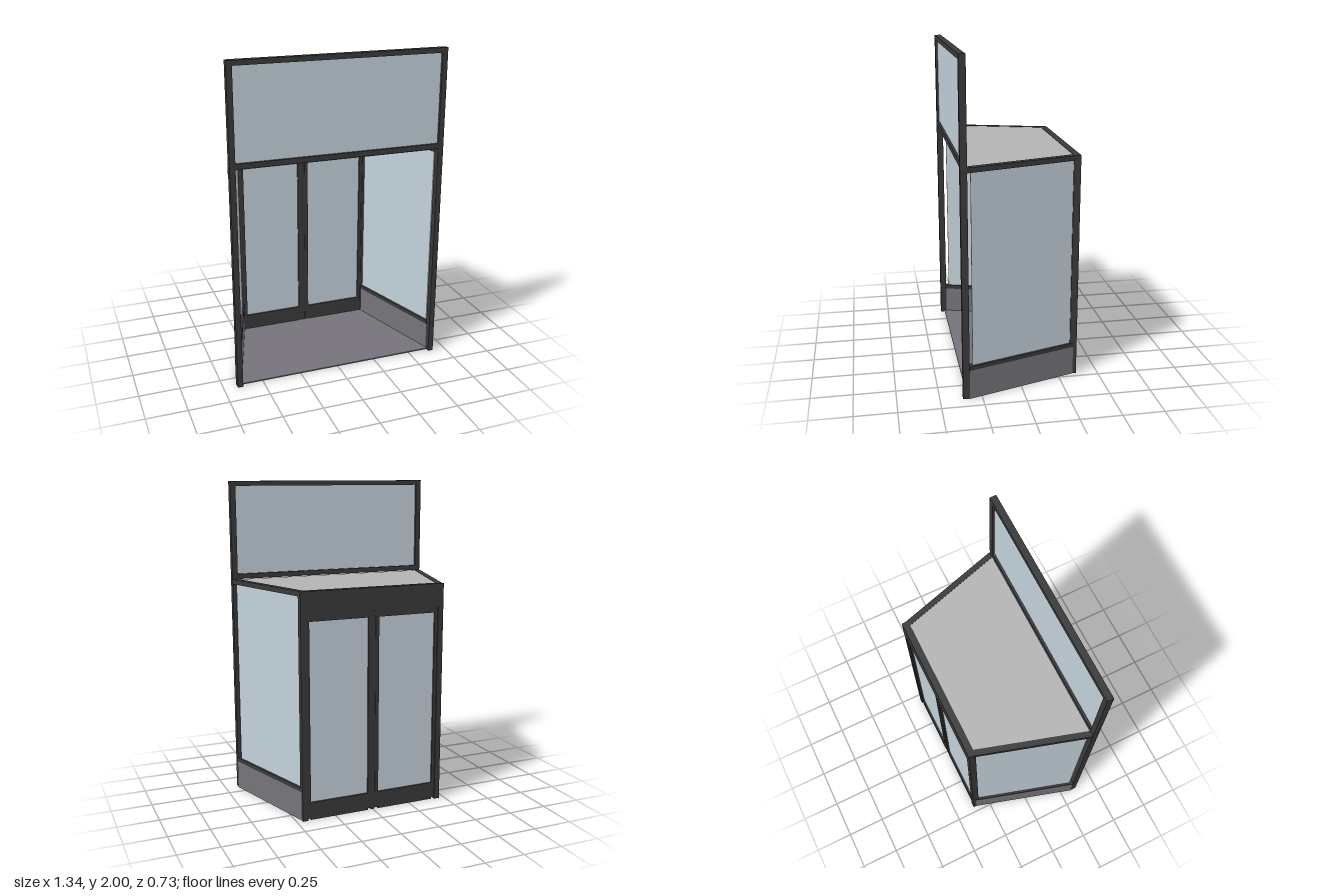
import * as THREE from 'three';

const mat = (color) => new THREE.MeshStandardMaterial({ color });

export function createModel() {
  const model = new THREE.Group();
  model.name = 'shopEntrance';
  const frame = mat(0x3a3a3a), glass = mat(0xc3d2da), panel = mat(0x76747a), roofGrey = mat(0xb4b4b4);

  const add = (name, geometry, material) => {
    const mesh = new THREE.Mesh(geometry, material);
    mesh.name = name;
    model.add(mesh);
  };
  // Box given by its lower and upper limits
  const box = (name, material, x0, x1, y0, y1, z0, z1) => {
    const g = new THREE.BoxGeometry(x1 - x0, y1 - y0, z1 - z0);
    g.translate((x0 + x1) / 2, (y0 + y1) / 2, (z0 + z1) / 2);
    add(name, g, material);
  };
  // Upright prism over a plan outline of [x, z] corners
  const prism = (name, material, plan, y0, y1) => {
    const shape = new THREE.Shape(plan.map(([x, z]) => new THREE.Vector2(x, -z)));
    const g = new THREE.ExtrudeGeometry(shape, { depth: y1 - y0, bevelEnabled: false });
    g.rotateX(-Math.PI / 2);
    g.translate(0, y0, 0);
    add(name, g, material);
  };
  // Outer line of the splayed side walls
  const edge = (z) => 0.465 + (z + 0.345) * 0.303;
  const strip = (s, inner, outer, z0, z1) => [
    [s * (edge(z0) - outer), z0], [s * (edge(z1) - outer), z1],
    [s * (edge(z1) - inner), z1], [s * (edge(z0) - inner), z0],
  ];
  const floorPlan = (inset, z0, z1) => [
    [-(edge(z0) - inset), z0], [edge(z0) - inset, z0],
    [edge(z1) - inset, z1], [-(edge(z1) - inset), z1],
  ];

  // Front frame with the large upper window
  const F0 = 0.325, F1 = 0.365;
  box('frontTopRail', frame, -0.632, 0.632, 1.97, 2, F0, F1);
  box('frontTransomBar', frame, -0.632, 0.632, 1.39, 1.422, F0, F1);
  box('upperWindow', glass, -0.632, 0.632, 1.422, 1.97, 0.34, 0.35);

  // Rear frame and doors
  const B0 = -0.367, B1 = -0.325;
  box('doorHeader', frame, -0.465, 0.465, 1.25, 1.39, B0, B1);
  box('doorMullion', frame, -0.012, 0.012, 0, 1.25, -0.358, -0.332);

  for (const s of [-1, 1]) {
    const side = s > 0 ? 'left' : 'right';
    const mirrored = (name, material, a, b, ...rest) =>
      box(side + name, material, Math.min(s * a, s * b), Math.max(s * a, s * b), ...rest);

    mirrored('FrontPost', frame, 0.632, 0.666, 0, 2, F0, F1);
    mirrored('RearPost', frame, 0.43, 0.465, 0, 1.25, B0, B1);

    // Door leaf
    mirrored('DoorInnerStile', frame, 0.012, 0.035, 0.01, 1.25, -0.36, -0.33);
    mirrored('DoorOuterStile', frame, 0.41, 0.43, 0.01, 1.25, -0.36, -0.33);
    mirrored('DoorBottomRail', frame, 0.035, 0.41, 0, 0.11, -0.36, -0.33);
    mirrored('DoorTopRail', frame, 0.035, 0.41, 1.212, 1.25, -0.36, -0.33);
    mirrored('DoorGlass', glass, 0.035, 0.41, 0.11, 1.212, -0.35, -0.34);

    // Splayed side wall
    prism(side + 'Bulkhead', panel, strip(s, 0, 0.036, -0.345, F0), 0, 0.18);
    prism(side + 'SillRail', frame, strip(s, 0, 0.038, -0.345, F0), 0.18, 0.205);
    prism(side + 'SideTopRail', frame, strip(s, 0, 0.038, -0.345, F0), 1.36, 1.39);
    prism(side + 'SideGlass', glass, strip(s, 0.014, 0.024, -0.33, 0.305), 0.205, 1.36);
  }

  // Floor and flat roof
  prism('floor', panel, floorPlan(0.005, -0.34, 0.34), 0, 0.008);
  prism('roof', roofGrey, floorPlan(0.036, -0.327, F0), 1.375, 1.388);
  return model;
}
